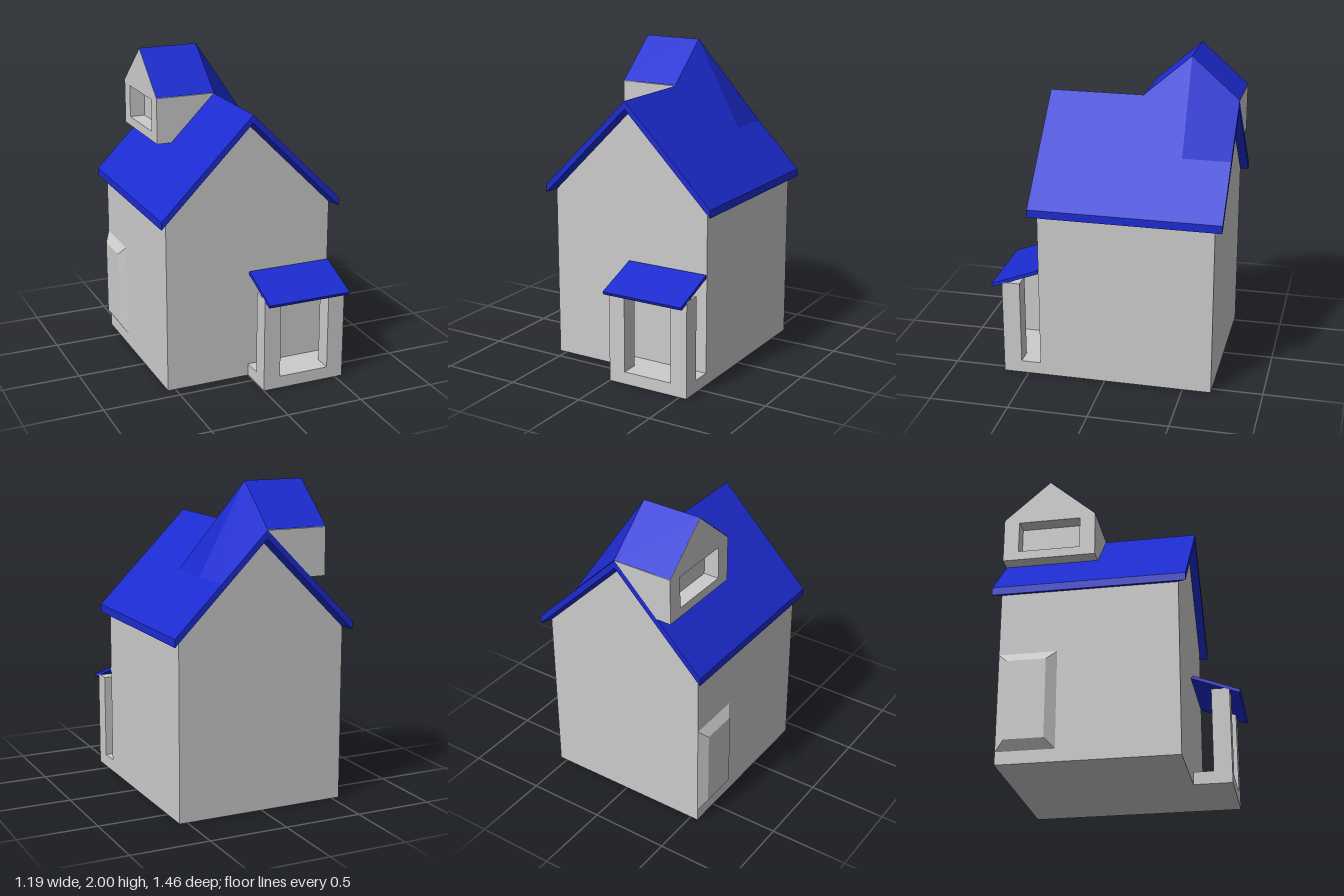
import * as THREE from 'three';

const grey = new THREE.MeshStandardMaterial({ color: 0xcccccc, side: THREE.DoubleSide });
const blue = new THREE.MeshStandardMaterial({ color: 0x1c2bd0, side: THREE.DoubleSide });

function mesh(name, geometry, material) {
  const m = new THREE.Mesh(geometry, material);
  m.name = name;
  return m;
}

const shapeOf = (pts) => new THREE.Shape(pts.map(([x, y]) => new THREE.Vector2(x, y)));

// Outline in (x, y), extruded from z0 to z1
function extrudeZ(shape, z0, z1) {
  return new THREE.ExtrudeGeometry(shape, { depth: z1 - z0, bevelEnabled: false }).translate(0, 0, z0);
}

// Outline in (z, y), extruded from x0 to x1
function extrudeX(shape, x0, x1) {
  return new THREE.ExtrudeGeometry(shape, { depth: x1 - x0, bevelEnabled: false })
    .rotateY(-Math.PI / 2).translate(x1, 0, 0);
}

function box(x0, x1, y0, y1, z0, z1) {
  return new THREE.BoxGeometry(x1 - x0, y1 - y0, z1 - z0)
    .translate((x0 + x1) / 2, (y0 + y1) / 2, (z0 + z1) / 2);
}

// Quads with one shared normal each, corners counter-clockwise
function quads(list) {
  const pos = [], nor = [];
  for (const corners of list) {
    const [a, b, c, d] = corners.map((p) => new THREE.Vector3(...p));
    const n = c.clone().sub(a).cross(d.clone().sub(b)).normalize();
    for (const p of [a, b, c, a, c, d]) {
      pos.push(p.x, p.y, p.z);
      nor.push(n.x, n.y, n.z);
    }
  }
  const g = new THREE.BufferGeometry();
  g.setAttribute('position', new THREE.Float32BufferAttribute(pos, 3));
  g.setAttribute('normal', new THREE.Float32BufferAttribute(nor, 3));
  return g;
}

// Quads joining two closed rings of points
const ringQuads = (outer, inner) => outer.map((p, i) => {
  const j = (i + 1) % outer.length;
  return [p, inner[i], inner[j], outer[j]];
});

function createHouse() {
  const g = new THREE.Group();
  g.name = 'house';
  const gable = shapeOf([[-0.55, 0], [0.55, 0], [0.55, 1.105], [0, 1.655], [-0.55, 1.105]]);
  g.add(mesh('houseWalls', extrudeZ(gable, -0.68, 0.42), grey));

  // Roof slab and the sloping soffit that joins it to the walls
  const slab = shapeOf([[-0.595, 1.09], [0, 1.685], [0.595, 1.09], [0.595, 1.14], [0, 1.735], [-0.595, 1.14]]);
  g.add(mesh('mainRoof', extrudeZ(slab, -0.73, 0.47), blue));
  const ring = (w, eave, top, z0, z1) => [
    [-w, eave, z1], [0, top, z1], [w, eave, z1], [w, eave, z0], [0, top, z0], [-w, eave, z0]];
  g.add(mesh('roofSoffit', quads(ringQuads(
    ring(0.595, 1.09, 1.685, -0.73, 0.47), ring(0.55, 1.105, 1.655, -0.68, 0.42))), blue));

  // Bevelled side door
  const panel = (x, m) => [
    [x, 0.08 + m, -0.68 + m], [x, 0.08 + m, -0.32 - m], [x, 0.7 - m, -0.32 - m], [x, 0.7 - m, -0.68 + m]];
  const base = panel(-0.55, 0), face = panel(-0.59, 0.06);
  const sides = base.map((p, i) => [p, base[(i + 1) % 4], face[(i + 1) % 4], face[i]]);
  g.add(mesh('sideDoor', quads([...sides, face]), grey));
  return g;
}

function createDormer() {
  const g = new THREE.Group();
  g.name = 'dormer';
  const eave = 1.735, top = 2, zf = -0.13, zm = -0.43, zb = -0.73;

  // Gable front with a window recess
  const front = shapeOf([[zb, 1.44], [zf, 1.44], [zf, eave], [zm, top - 0.003], [zb, eave]]);
  front.holes.push(shapeOf([[-0.63, 1.5], [-0.63, 1.71], [-0.23, 1.71], [-0.23, 1.5]]));
  g.add(mesh('dormerWindowFrame', extrudeX(front, -0.39, -0.29), grey));
  const cheek = shapeOf([[-0.29, 1.442], [0, eave], [-0.29, eave]]);
  g.add(mesh('dormerWalls', extrudeZ(cheek, zb, zf), grey));

  // Two slopes, then two faces falling onto the far side of the main roof
  const e = 0.003, y = eave + e;
  const ridge = [0, top, zm], foot = 1.435 + e;
  g.add(mesh('dormerRoof', quads([
    [[-0.39, y, zf], [0, y, zf], ridge, [-0.39, top, zm]],
    [[0, y, zb], [-0.39, y, zb], [-0.39, top, zm], ridge],
    [ridge, [0, y, zf], [0.3, foot, zf], [0.3, foot, zm]],
    [ridge, [0.3, foot, zm], [0.3, foot, zb], [0, y, zb]],
  ]), blue));
  return g;
}

function createPorch() {
  const g = new THREE.Group();
  g.name = 'porch';
  g.add(mesh('porchFloor', box(0, 0.55, 0, 0.08, 0.42, 0.66), grey));
  for (const x of [0, 0.44]) {
    g.add(mesh('porchPost', box(x, x + 0.11, 0.08, 0.62, 0.545, 0.66), grey));
  }
  const roof = shapeOf([[0.42, 0.7], [0.72, 0.585], [0.73, 0.605], [0.43, 0.72]]);
  g.add(mesh('porchRoof', extrudeX(roof, 0, 0.55), blue));
  return g;
}

export function createModel() {
  const model = new THREE.Group();
  model.name = 'cottage';
  model.add(createHouse(), createDormer(), createPorch());
  return model;
}
